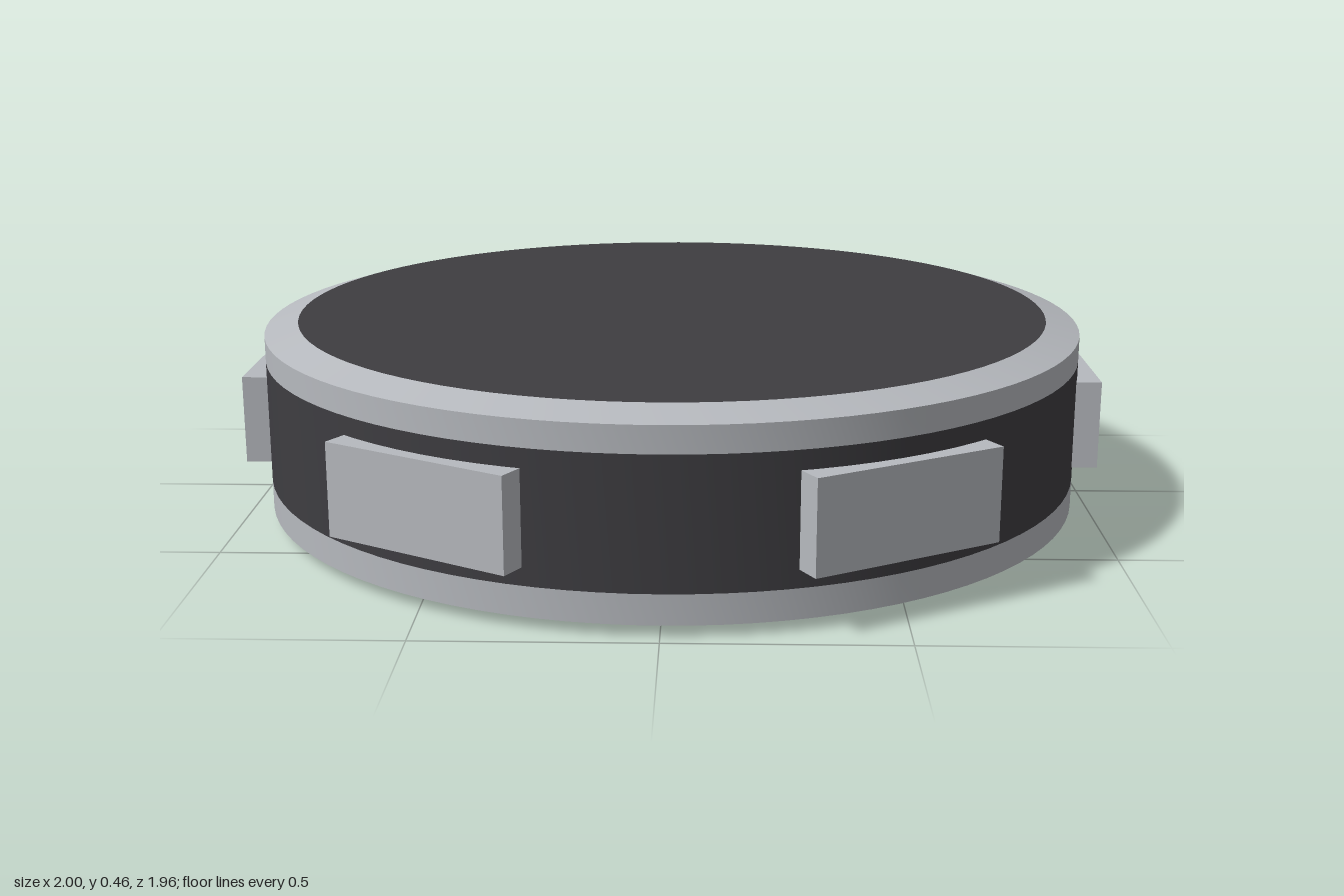
import * as THREE from 'three';
import { toCreasedNormals } from 'three/addons/utils/BufferGeometryUtils.js';

const R = 0.968;      // outer radius
const FACE_R = 0.89;  // radius of the flat faces
const H = 0.46;       // total height
const BEVEL = 0.024;  // bevel height
const LOW = 0.09;     // lower edge of the dark side band
const HIGH = H - 0.083;

export function createModel() {
  const group = new THREE.Group();
  const dark = new THREE.MeshStandardMaterial({ color: 0x3e3d41 });
  const metal = new THREE.MeshStandardMaterial({ color: 0xb6b9be });

  const add = (name, geometry, material) => {
    const mesh = new THREE.Mesh(geometry, material);
    mesh.name = name;
    group.add(mesh);
    return mesh;
  };
  // Profile runs upwards along the outside, as [radius, y]
  const turned = (profile) => toCreasedNormals(
    new THREE.LatheGeometry(profile.map(([r, y]) => new THREE.Vector2(r, y)), 96), 0.2);

  // Dark parts: flat faces and the side band
  add('bottomFace', turned([[0, 0], [FACE_R, 0]]), dark);
  add('sideBand', turned([[R, LOW], [R, HIGH]]), dark);
  add('topFace', turned([[FACE_R, H], [0, H]]), dark);

  // Bevelled metal rims
  add('bottomRim', turned([[FACE_R, 0], [R, BEVEL], [R, LOW]]), metal);
  add('topRim', turned([[R, HIGH], [R, H - BEVEL], [FACE_R, H]]), metal);

  // Six grip blocks around the side
  const block = new THREE.BoxGeometry(0.08, 0.206, 0.45);
  for (let i = 0; i < 6; i++) {
    const a = (i * Math.PI) / 3;
    const grip = add(`gripBlock${i + 1}`, block, metal);
    grip.position.set(0.96 * Math.cos(a), 0.232, -0.96 * Math.sin(a));
    grip.rotation.y = a;
  }
  return group;
}
